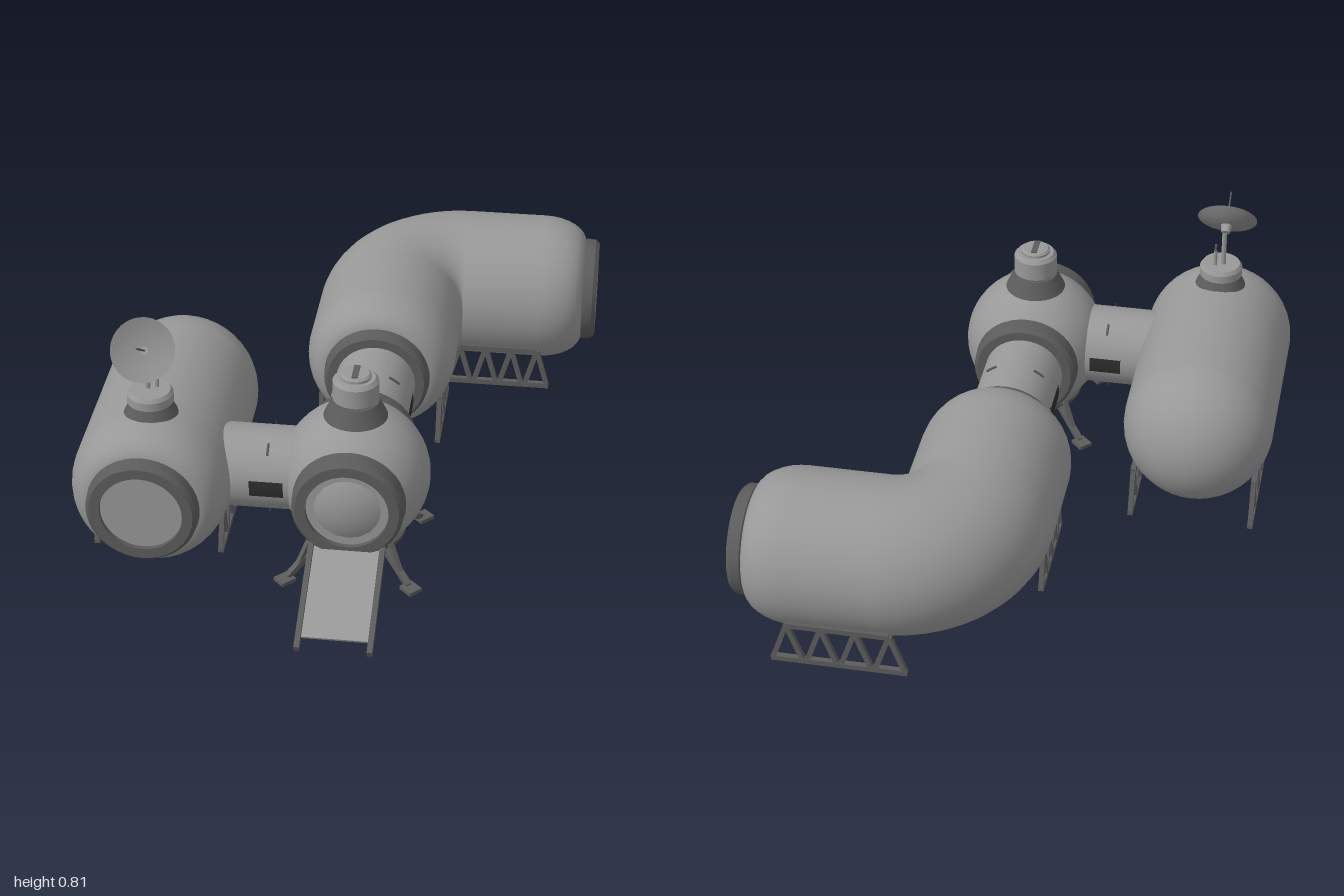
import * as THREE from 'three';
import { toCreasedNormals } from 'three/addons/utils/BufferGeometryUtils.js';

const paint = (name, color, side = THREE.FrontSide) => {
  const m = new THREE.MeshStandardMaterial({ color, side });
  m.name = name;
  return m;
};

export function createModel() {
  const hull = paint('hullGrey', 0x989898);
  const dishGrey = paint('dishGrey', 0x8a8a8a, THREE.DoubleSide);
  const trim = paint('trimGrey', 0x5c5c5c);
  const glass = paint('darkWindow', 0x2c2c2c);
  const Y = 0.28, R = 0.235, RC = 0.167, SH = 0.14; // axis height, hull, collar radius, shoulder length

  const model = new THREE.Group();
  model.name = 'habitat';
  const base = new THREE.Group();
  base.name = 'station';
  base.position.set(0.135, 0, 0.46);
  base.rotation.y = 0.087;
  model.add(base);

  const put = (parent, name, geo, mat, x = 0, y = 0, z = 0) => {
    const m = new THREE.Mesh(geo, mat);
    m.name = name;
    m.position.set(x, y, z);
    parent.add(m);
    return m;
  };
  const lathe = (pts, seg = 40) =>
    toCreasedNormals(new THREE.LatheGeometry(pts.map(p => new THREE.Vector2(...p)), seg), 0.5);
  // A group whose +y points along the given direction
  const axis = (name, x, y, z, dir) => {
    const g = new THREE.Group();
    g.name = name;
    g.position.set(x, y, z);
    g.quaternion.setFromUnitVectors(new THREE.Vector3(0, 1, 0), new THREE.Vector3(...dir));
    base.add(g);
    return g;
  };
  // Square bar between two points
  const beam = (parent, name, a, b, w, mat = trim, h = w) => {
    const p = new THREE.Vector3(...a), q = new THREE.Vector3(...b);
    const m = new THREE.Mesh(new THREE.BoxGeometry(w, h, p.distanceTo(q)), mat);
    m.name = name;
    m.position.copy(p).add(q).multiplyScalar(0.5);
    m.lookAt(q);
    parent.add(m);
  };

  // Docking collar with recessed hatch
  const collar = (name, x, z, dir, h = 0.05) => {
    const g = axis(name, x, Y, z, dir);
    put(g, 'collarRing', lathe([[RC - 0.01, 0], [RC, 0.008], [RC - 0.003, h - 0.012], [RC - 0.014, h], [0.122, h], [0.122, h - 0.015]]), trim);
    const hatch = new THREE.CircleGeometry(0.123, 40);
    hatch.rotateX(-Math.PI / 2);
    put(g, 'hatch', hatch, hull, 0, h - 0.015, 0);
  };
  // Straight hull ending in a rounded shoulder
  const section = (name, x, z, dir, len) => {
    const pts = [[R, 0], [R, len]];
    for (let i = 1; i <= 8; i++) {
      const a = i / 8 * Math.PI / 2;
      pts.push([RC - 0.012 + (R - RC + 0.012) * Math.cos(a), len + SH * Math.sin(a)]);
    }
    put(axis(name, x, Y, z, dir), 'hullSection', lathe(pts), hull);
  };

  // Bent module: two sections joined by an elbow
  section('bentModuleNear', 0, -0.955, [0, 0, 1], 0.26);
  collar('bentNearCollar', 0, -0.56, [0, 0, 1]);
  const elbow = new THREE.TorusGeometry(R, R, 40, 16, Math.PI / 2);
  elbow.rotateX(-Math.PI / 2);
  elbow.rotateY(Math.PI / 2);
  put(base, 'bentModuleElbow', elbow, hull, R, Y, -0.955);
  section('bentModuleFar', R, -0.955 - R, [1, 0, 0], 0.245);
  collar('bentFarCollar', 0.615, -0.955 - R, [1, 0, 0]);

  // Capsule module with a domed back
  const CX = -0.59, CZ = -0.385;
  section('capsuleModule', CX, CZ, [0, 0, 1], 0.505);
  collar('capsuleCollar', CX, 0.25, [0, 0, 1]);
  put(axis('capsuleDome', CX, Y, CZ, [0, 0, -1]), 'dome',
    new THREE.SphereGeometry(R, 40, 12, 0, Math.PI * 2, 0, Math.PI / 2), hull);

  // Central node, cut flat underneath
  put(base, 'centralNode', new THREE.SphereGeometry(0.223, 40, 24, 0, Math.PI * 2, 0, 2.515), hull, 0, Y, 0);
  collar('nodeFrontCollar', 0, 0.145, [0, 0, 1], 0.07);
  collar('nodeBackCollar', 0, -0.145, [0, 0, -1], 0.065);
  put(base, 'nodeFloorRim', lathe([[0.13, 0.082], [0.15, 0.082], [0.155, 0.1], [0.135, 0.12]]), trim);
  put(base, 'nodeFloor', new THREE.CylinderGeometry(0.132, 0.132, 0.015, 40), hull, 0, 0.093, 0);

  // Connecting tunnels with windows and grab handles
  const tunnel = (name, x, z, dir, len, mid) => {
    const g = axis(name, x, Y, z, dir);
    put(g, 'tunnelTube', new THREE.CylinderGeometry(0.125, 0.125, len, 40, 1, true), hull, 0, len / 2, 0);
    const side = dir[0] ? [0, Math.PI] : [Math.PI / 2, -Math.PI / 2];
    for (const a of side) {
      put(g, 'tunnelWindow', new THREE.CylinderGeometry(0.129, 0.129, mid.w, 8, 1, false, a - 0.2, 0.4), glass, 0, mid.at, 0);
      for (const s of [-1, 1]) {
        const handle = new THREE.TorusGeometry(0.131, 0.004, 5, 8, 0.3);
        handle.rotateX(Math.PI / 2);
        put(g, 'grabHandle', handle, trim, 0, mid.at, 0).rotation.y = a - Math.PI / 2 + s * 0.95 + 0.15;
      }
    }
  };
  tunnel('backTunnel', 0, -0.17, [0, 0, -1], 0.38, { at: 0.185, w: 0.125 });
  tunnel('sideTunnel', -0.15, 0, [-1, 0, 0], 0.25, { at: 0.1, w: 0.1 });

  // Roof turrets
  put(base, 'nodeTurretBase', lathe([[0.098, 0.475], [0.07, 0.535], [0.05, 0.535]]), trim);
  put(base, 'nodeTurret', lathe([[0.058, 0.53], [0.068, 0.542], [0.068, 0.6], [0.058, 0.612], [0, 0.612]]), hull);
  put(base, 'nodeTurretCap', lathe([[0.046, 0.61], [0.046, 0.62], [0.04, 0.626], [0, 0.626]]), hull);
  put(base, 'nodeTurretBar', new THREE.BoxGeometry(0.018, 0.006, 0.07), trim, 0, 0.627, 0);
  put(base, 'antennaBase', lathe([[0.09, 0.48], [0.062, 0.538], [0.05, 0.538]]), trim, CX, 0, 0.09);
  put(base, 'antennaMount', lathe([[0.06, 0.535], [0.068, 0.542], [0.068, 0.568], [0.06, 0.58], [0, 0.58]]), hull, CX, 0, 0.09);

  // Dish antenna
  put(base, 'dishPost', new THREE.CylinderGeometry(0.008, 0.008, 0.12, 10), hull, CX - 0.007, 0.635, 0.085);
  put(base, 'whipAntenna', new THREE.CylinderGeometry(0.006, 0.006, 0.05, 8), hull, CX + 0.018, 0.605, 0.075);
  put(base, 'whipTip', new THREE.CylinderGeometry(0.004, 0.004, 0.03, 8), trim, CX + 0.018, 0.64, 0.075);
  const dish = new THREE.Group();
  dish.name = 'dishAntenna';
  dish.position.set(CX - 0.01, 0.713, 0.1);
  dish.rotation.x = 0.99;
  base.add(dish);
  const bowl = [0, 1, 2, 3, 4, 5, 6].map(i => new THREE.Vector2(0.095 * i / 6, 0.025 * (i / 6) ** 2));
  put(dish, 'dishBowl', new THREE.LatheGeometry(bowl, 32), dishGrey);
  put(dish, 'dishFeed', new THREE.CylinderGeometry(0.003, 0.003, 0.12, 6), trim, 0, 0.06, 0);
  put(dish, 'dishHub', new THREE.CylinderGeometry(0.018, 0.014, 0.025, 12), hull, 0, -0.012, 0);

  // Trapezoid truss legs
  const truss = (name, x, z, len, n, turned) => {
    const g = new THREE.Group();
    g.name = name;
    g.position.set(x, 0, z);
    if (turned) g.rotation.y = Math.PI / 2;
    const b = len / 2, top = 0.138, low = 0.009, w = 0.017, step = len / n;
    beam(g, 'trussFoot', [-b, low, 0], [b, low, 0], w);
    beam(g, 'trussTop', [-b + step / 2, top, 0], [b - step / 2, top, 0], w);
    for (let i = 0; i < n; i++) {
      const l = -b + i * step;
      beam(g, 'trussBrace', [l + 0.006, low, 0], [l + step / 2, top, 0], w * 0.9);
      beam(g, 'trussBrace', [l + step / 2, top, 0], [l + step - 0.006, low, 0], w * 0.9);
    }
    base.add(g);
  };
  for (const s of [-1, 1]) {
    truss('capsuleTruss', CX + s * 0.19, -0.23, 0.6, 6, true);
    truss('bentNearTruss', s * 0.19, -0.78, 0.33, 4, true);
  }
  truss('bentFarFrontTruss', 0.355, -1.0, 0.34, 4, false);
  truss('bentFarBackTruss', 0.33, -1.385, 0.41, 4, false);

  // Node landing legs on the diagonals
  for (let i = 0; i < 4; i++) {
    const g = new THREE.Group();
    g.name = 'landingLeg';
    g.rotation.y = Math.PI / 4 + i * Math.PI / 2;
    beam(g, 'legStrut', [0.13, 0.09, 0], [0.255, 0.012, 0], 0.018);
    beam(g, 'legBrace', [0.16, 0.13, 0], [0.215, 0.04, 0], 0.014);
    put(g, 'legPad', new THREE.BoxGeometry(0.05, 0.012, 0.045), trim, 0.265, 0.006, 0);
    base.add(g);
  }

  // Entry ramp
  const ramp = new THREE.Group();
  ramp.name = 'entryRamp';
  beam(ramp, 'rampDeck', [0, 0.148, 0.2], [0, 0.025, 0.485], 0.2, hull, 0.008);
  for (const s of [-1, 1])
    beam(ramp, 'rampRail', [s * 0.105, 0.155, 0.2], [s * 0.105, 0.012, 0.525], 0.016, trim, 0.024);
  base.add(ramp);

  return model;
}
